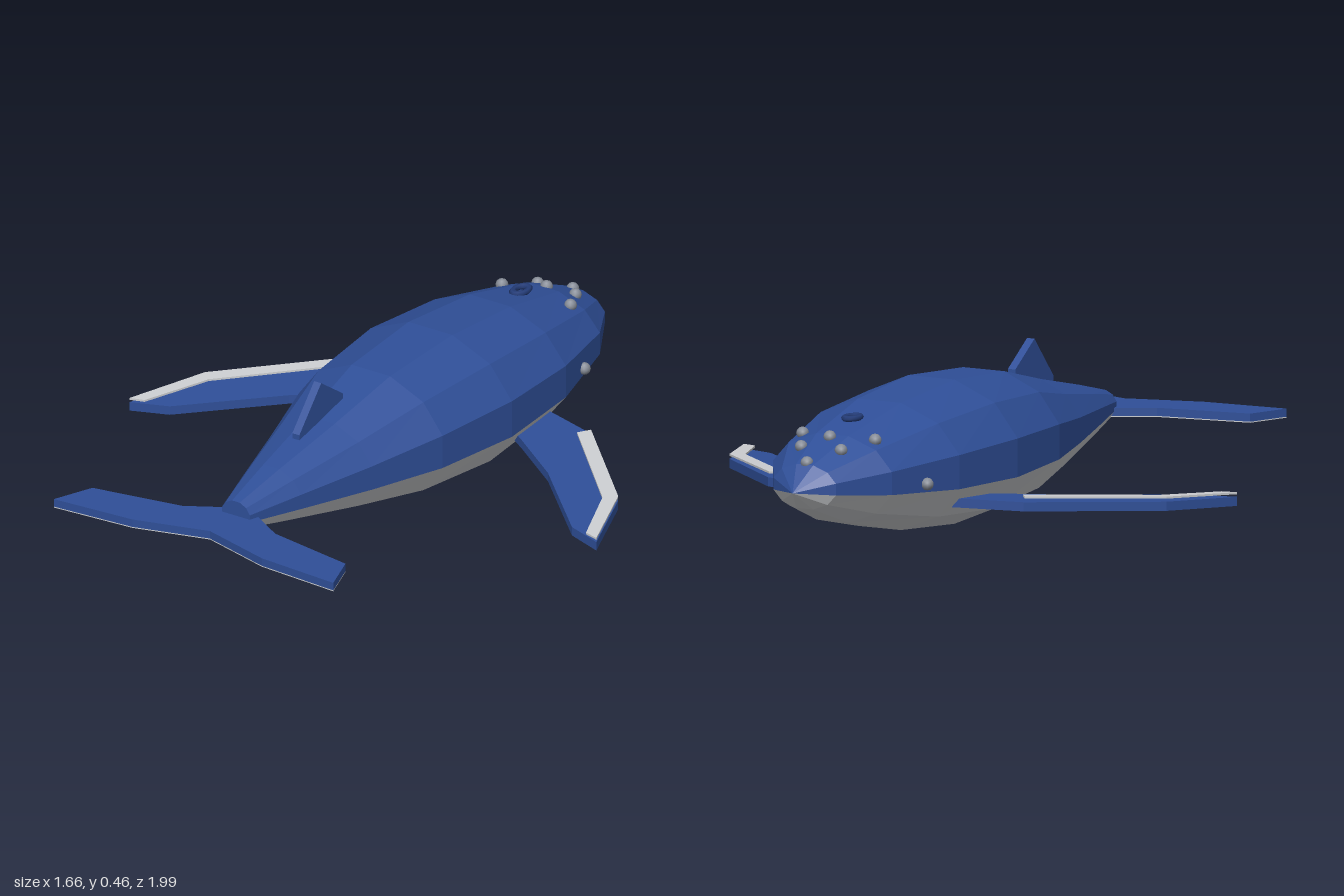
import * as THREE from 'three';

const blue = new THREE.MeshStandardMaterial({ color: 0x2f4f98 });
blue.name = 'ocean blue';
const pale = new THREE.MeshStandardMaterial({ color: 0xcdcfd2 });
pale.name = 'pale belly';
const grey = new THREE.MeshStandardMaterial({ color: 0x858b96 });
grey.name = 'barnacle grey';
const navy = new THREE.MeshStandardMaterial({ color: 0x243c78 });
navy.name = 'blowhole navy';

function mesh(name, geometry, material) {
  const m = new THREE.Mesh(geometry, material);
  m.name = name;
  return m;
}

// Body cross-sections: z, half width, bottom y, top y
const STATIONS = [
  [-1, 0, 0.205, 0.205], [-0.93, 0.105, 0.15, 0.28], [-0.77, 0.2, 0.09, 0.345],
  [-0.5, 0.27, 0.03, 0.405], [-0.2, 0.29, 0.005, 0.43], [0.1, 0.255, 0.025, 0.41],
  [0.35, 0.18, 0.07, 0.348], [0.6, 0.105, 0.123, 0.293], [0.78, 0.05, 0.165, 0.25],
];
const SIDES = 12;

function ringPoint([z, w, low, high], j) {
  const a = ((j - 0.5) * 2 * Math.PI) / SIDES;
  const k = Math.cos(Math.PI / SIDES);
  return [(w / k) * Math.cos(a), (low + high) / 2 + ((high - low) / 2 / k) * Math.sin(a), z];
}

// Strips of facets from side "from" to side "to", lofted along the body
function hull(from, to, capped) {
  const p = [];
  for (let i = 0; i < STATIONS.length - 1; i++) {
    for (let j = from; j < to; j++) {
      const a = ringPoint(STATIONS[i], j), b = ringPoint(STATIONS[i], j + 1);
      const c = ringPoint(STATIONS[i + 1], j), d = ringPoint(STATIONS[i + 1], j + 1);
      if (i > 0) p.push(...a, ...b, ...c);
      p.push(...b, ...d, ...c);
    }
  }
  if (capped) {
    const end = STATIONS[STATIONS.length - 1];
    for (let j = 0; j < SIDES; j++) {
      p.push(0, (end[2] + end[3]) / 2, end[0], ...ringPoint(end, j), ...ringPoint(end, j + 1));
    }
  }
  const g = new THREE.BufferGeometry();
  g.setAttribute('position', new THREE.Float32BufferAttribute(p, 3));
  g.computeVertexNormals();
  return g;
}

// Flat slab from an x/z outline; its top slopes with z
function slab(outline, thick, top, slope = 0, z0 = 0) {
  const shape = new THREE.Shape(outline.map(([x, z]) => new THREE.Vector2(x, z)));
  const g = new THREE.ExtrudeGeometry(shape, { depth: thick, bevelEnabled: false });
  g.rotateX(Math.PI / 2);
  const pos = g.attributes.position;
  for (let i = 0; i < pos.count; i++) {
    pos.setY(i, pos.getY(i) + top + slope * (pos.getZ(i) - z0));
  }
  g.computeVertexNormals();
  return g;
}

const FLIPPER = [[0.18, -0.475], [0.27, -0.45], [0.43, -0.405], [0.735, -0.105], [0.83, 0.14],
  [0.715, 0.1], [0.46, -0.14], [0.28, -0.265], [0.18, -0.33]];
const STRIP = [[0.43, -0.4], [0.735, -0.105], [0.83, 0.14], [0.785, 0.128], [0.7, -0.075], [0.405, -0.365]];
const FLUKE = [[0, 0.715], [0.165, 0.815], [0.45, 0.865], [0.497, 0.993], [0.23, 0.975], [0, 0.91]];

export function createModel() {
  const model = new THREE.Group();
  model.name = 'whale';

  model.add(mesh('back', hull(0, 7, true), blue), mesh('belly', hull(7, 12, false), pale));

  // Paired flippers with a pale leading edge
  for (const s of [1, -1]) {
    const side = s > 0 ? 'left' : 'right';
    const flip = (pts) => pts.map(([x, z]) => [s * x, z]);
    model.add(mesh(side + 'Flipper', slab(flip(FLIPPER), 0.027, 0.131, -0.054, -0.45), blue));
    model.add(mesh(side + 'FlipperEdge', slab(flip(STRIP), 0.006, 0.145, -0.06, -0.4), pale));
  }

  // Tail flukes, pale underneath
  const fluke = [...FLUKE, ...FLUKE.slice(1, -1).reverse().map(([x, z]) => [-x, z])];
  model.add(mesh('flukes', slab(fluke, 0.024, 0.205), blue));
  model.add(mesh('flukeUnderside', slab(fluke, 0.003, 0.181), pale));

  // Dorsal fin: shape x runs along -z after the turn
  const fin = new THREE.Shape([[-0.24, 0.39], [-0.35, 0.465], [-0.46, 0.34], [-0.46, 0.3], [-0.24, 0.36]]
    .map(([x, y]) => new THREE.Vector2(x, y)));
  const finGeo = new THREE.ExtrudeGeometry(fin, { depth: 0.025, bevelEnabled: false });
  finGeo.rotateY(Math.PI / 2).translate(-0.025, 0, 0);
  model.add(mesh('dorsalFin', finGeo, blue));

  // Blowhole ring on top of the head
  const ring = new THREE.TorusGeometry(0.02, 0.009, 6, 12);
  ring.rotateX(Math.PI / 2).scale(1, 1, 1.55);
  const blowhole = mesh('blowhole', ring, navy);
  blowhole.position.set(0, 0.379, -0.655);
  model.add(blowhole);

  // Barnacles on the snout and cheeks
  const bump = new THREE.IcosahedronGeometry(0.019, 1);
  const spots = [[0, 0.284, -0.917], [0, 0.341, -0.785]];
  for (const s of [1, -1]) {
    spots.push([s * 0.067, 0.314, -0.835], [s * 0.122, 0.334, -0.733], [s * 0.24, 0.2, -0.635]);
  }
  spots.forEach((p, i) => {
    const b = mesh('barnacle' + (i + 1), bump, grey);
    b.position.set(...p);
    model.add(b);
  });

  return model;
}
